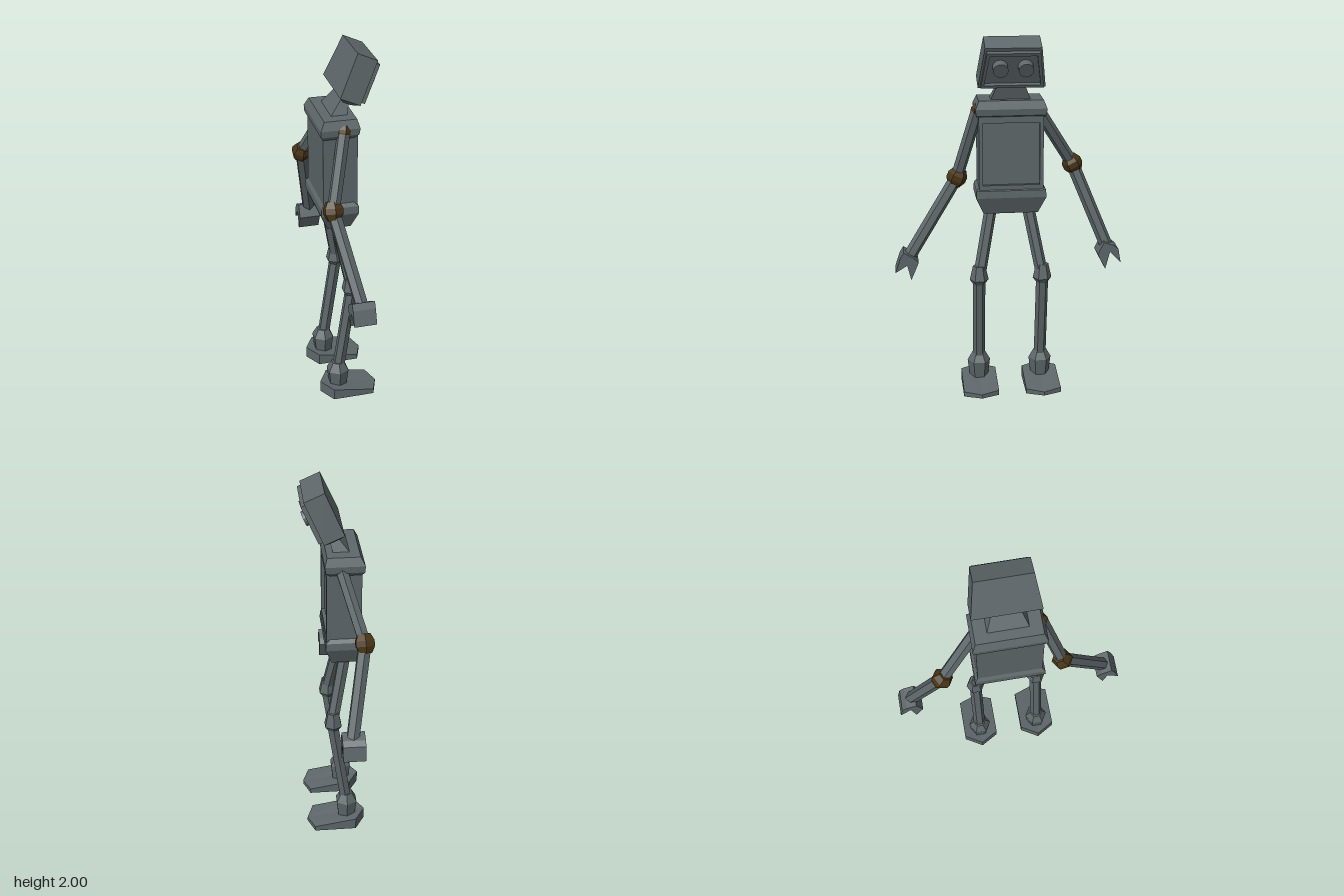
import * as THREE from 'three';

const grey = new THREE.MeshStandardMaterial({ color: 0x5e676a });
grey.name = 'steel grey';
const brown = new THREE.MeshStandardMaterial({ color: 0x4a3616 });
brown.name = 'rust brown';
const V = (x, y, z) => new THREE.Vector3(x, y, z);

// faceted mesh with one normal per face
function part(name, geo, mat = grey) {
  const g = geo.index ? geo.toNonIndexed() : geo;
  g.computeVertexNormals();
  const m = new THREE.Mesh(g, mat);
  m.name = name;
  return m;
}

// rectangular ring, counter-clockwise from above
const rect = (y, x0, x1, h) => [V(x1, y, h), V(x1, y, -h), V(x0, y, -h), V(x0, y, h)];

// closed solid through rings listed from bottom to top
function loft(rings) {
  const p = [], n = rings[0].length, top = rings[rings.length - 1], low = rings[0];
  const tri = (...v) => v.forEach(q => p.push(q.x, q.y, q.z));
  for (let s = 0; s + 1 < rings.length; s++) {
    for (let i = 0; i < n; i++) {
      const j = (i + 1) % n, a = rings[s], b = rings[s + 1];
      tri(a[i], a[j], b[j]);
      tri(a[i], b[j], b[i]);
    }
  }
  for (let i = 1; i + 1 < n; i++) {
    tri(top[0], top[i], top[i + 1]);
    tri(low[0], low[i + 1], low[i]);
  }
  const g = new THREE.BufferGeometry();
  g.setAttribute('position', new THREE.Float32BufferAttribute(p, 3));
  return g;
}

// six-sided turned solid; profile holds [radius, height], axis runs along dir from a
function turned(name, a, dir, profile, mat) {
  const pts = profile.map(([r, t]) => new THREE.Vector2(r, t));
  const m = part(name, new THREE.LatheGeometry(pts, 6), mat);
  m.position.copy(a);
  m.quaternion.setFromUnitVectors(V(0, 1, 0), dir.clone().normalize());
  return m;
}

function rod(name, a, b, r) {
  const d = b.clone().sub(a), l = d.length();
  return turned(name, a, d, [[0, 0], [r, 0], [r, l], [0, l]]);
}

function joint(name, c, dir, r, l, mat) {
  const d = dir.clone().normalize();
  return turned(name, c.clone().addScaledVector(d, -l / 2), d,
    [[0, 0], [r * 0.65, 0], [r, l * 0.35], [r, l * 0.65], [r * 0.65, l], [0, l]], mat);
}

// outline of [z, y] points extruded along +x
function slab(name, pts, x, depth, hole) {
  const toV = ([z, y]) => new THREE.Vector2(-z, y);
  const s = new THREE.Shape(pts.map(toV));
  if (hole) s.holes.push(new THREE.Path(hole.map(toV)));
  const g = new THREE.ExtrudeGeometry(s, { depth, bevelEnabled: false });
  g.rotateY(Math.PI / 2).translate(x, 0, 0);
  return part(name, g);
}
const trapezoid = (y0, y1, h0, h1) => [[h0, y0], [-h0, y0], [-h1, y1], [h1, y1]];

function makeHead() {
  const head = new THREE.Group();
  head.name = 'head';
  head.position.set(-0.04, 1.78, 0);
  head.rotation.z = -0.42;
  head.add(part('skull', loft([
    rect(-0.026, 0.04, 0.085, 0.13), rect(0, 0, 0.115, 0.178), rect(0.24, 0, 0.115, 0.147)])));
  head.add(slab('faceFrame', trapezoid(0.012, 0.222, 0.165, 0.138), 0.114, 0.024,
    trapezoid(0.028, 0.205, 0.148, 0.122)));
  for (const z of [0.066, -0.066]) {
    const eye = part('eye', new THREE.CylinderGeometry(0.04, 0.04, 0.045, 16));
    eye.rotation.z = -Math.PI / 2;
    eye.position.set(0.135, 0.13, z);
    head.add(eye);
  }
  return head;
}

function makeTorso() {
  const torso = new THREE.Group();
  torso.name = 'torso';
  torso.add(part('body', loft([
    rect(1.035, -0.105, 0.025, 0.148), rect(1.13, -0.145, 0.06, 0.19),
    rect(1.17, -0.143, 0.058, 0.187), rect(1.19, -0.13, 0.035, 0.173),
    rect(1.56, -0.13, 0.035, 0.173), rect(1.58, -0.143, 0.058, 0.187),
    rect(1.615, -0.145, 0.063, 0.19), rect(1.66, -0.122, 0.05, 0.172)])));
  torso.add(slab('chestFrame', trapezoid(1.175, 1.575, 0.173, 0.173), 0.03, 0.024,
    trapezoid(1.2, 1.54, 0.153, 0.153)));
  torso.add(part('neck', loft([
    rect(1.65, -0.078, 0.012, 0.11), rect(1.735, -0.01, 0.035, 0.075),
    rect(1.775, -0.01, 0.055, 0.09)])));
  return torso;
}

function makeLeg(side) {
  const leg = new THREE.Group();
  leg.name = side > 0 ? 'leftLeg' : 'rightLeg';
  const z = side * 0.175, up = V(0, 1, 0);
  const hip = V(-0.05, 1.06, side * 0.1), knee = V(0.025, 0.67, z), ankle = V(-0.05, 0.16, z);
  leg.add(rod('thigh', knee, hip, 0.034));
  leg.add(rod('shin', ankle, knee, 0.034));
  leg.add(turned('knee', V(0.02, 0.63, z), up,
    [[0, 0], [0.034, 0], [0.052, 0.025], [0.034, 0.105], [0, 0.105]]));
  leg.add(turned('ankle', V(-0.055, 0.04, z), up,
    [[0, 0], [0.052, 0], [0.064, 0.1], [0.036, 0.15], [0, 0.15]]));
  // pointed foot, thick at the heel and thin at the toe
  const ring = low => [[0.167, 0, 0.022], [0.13, -0.098, 0.028], [-0.1, -0.098, 0.065],
    [-0.157, 0, 0.065], [-0.1, 0.098, 0.065], [0.13, 0.098, 0.028]]
    .map(([x, w, h]) => V(x, low ? 0 : h, z + w));
  leg.add(part('foot', loft([ring(true), ring(false)])));
  return leg;
}

function makeArm(name, shoulder, elbow, wrist, hand, handX) {
  const arm = new THREE.Group();
  arm.name = name;
  const d1 = shoulder.clone().sub(elbow), d2 = elbow.clone().sub(wrist);
  arm.add(rod('upperArm', elbow, shoulder, 0.034));
  arm.add(rod('forearm', wrist, elbow, 0.036));
  arm.add(joint('shoulder', shoulder, d1, 0.036, 0.06, brown));
  arm.add(joint('elbow', elbow, d1.normalize().add(d2.normalize()), 0.055, 0.1, brown));
  arm.add(slab('claw', hand, handX, 0.12));
  return arm;
}

export function createModel() {
  const model = new THREE.Group();
  model.name = 'robot';
  // head, torso and legs share a slight sideways offset
  const core = new THREE.Group();
  core.name = 'core';
  core.position.z = -0.008;
  core.add(makeHead(), makeTorso(), makeLeg(1), makeLeg(-1));
  model.add(core);
  // arms hang at different angles
  model.add(makeArm('leftArm', V(-0.02, 1.6, 0.165), V(-0.105, 1.21, 0.275), V(-0.025, 0.79, 0.545),
    [[0.578, 0.828], [0.598, 0.795], [0.625, 0.715], [0.56, 0.755], [0.54, 0.67], [0.498, 0.768], [0.522, 0.795]]
      .reverse(), -0.085));
  model.add(makeArm('rightArm', V(-0.02, 1.6, -0.155), V(-0.125, 1.265, -0.365), V(-0.045, 0.8, -0.555),
    [[-0.53, 0.84], [-0.497, 0.77], [-0.54, 0.685], [-0.565, 0.785], [-0.627, 0.72], [-0.612, 0.8], [-0.585, 0.822]],
    -0.11));
  return model;
}
